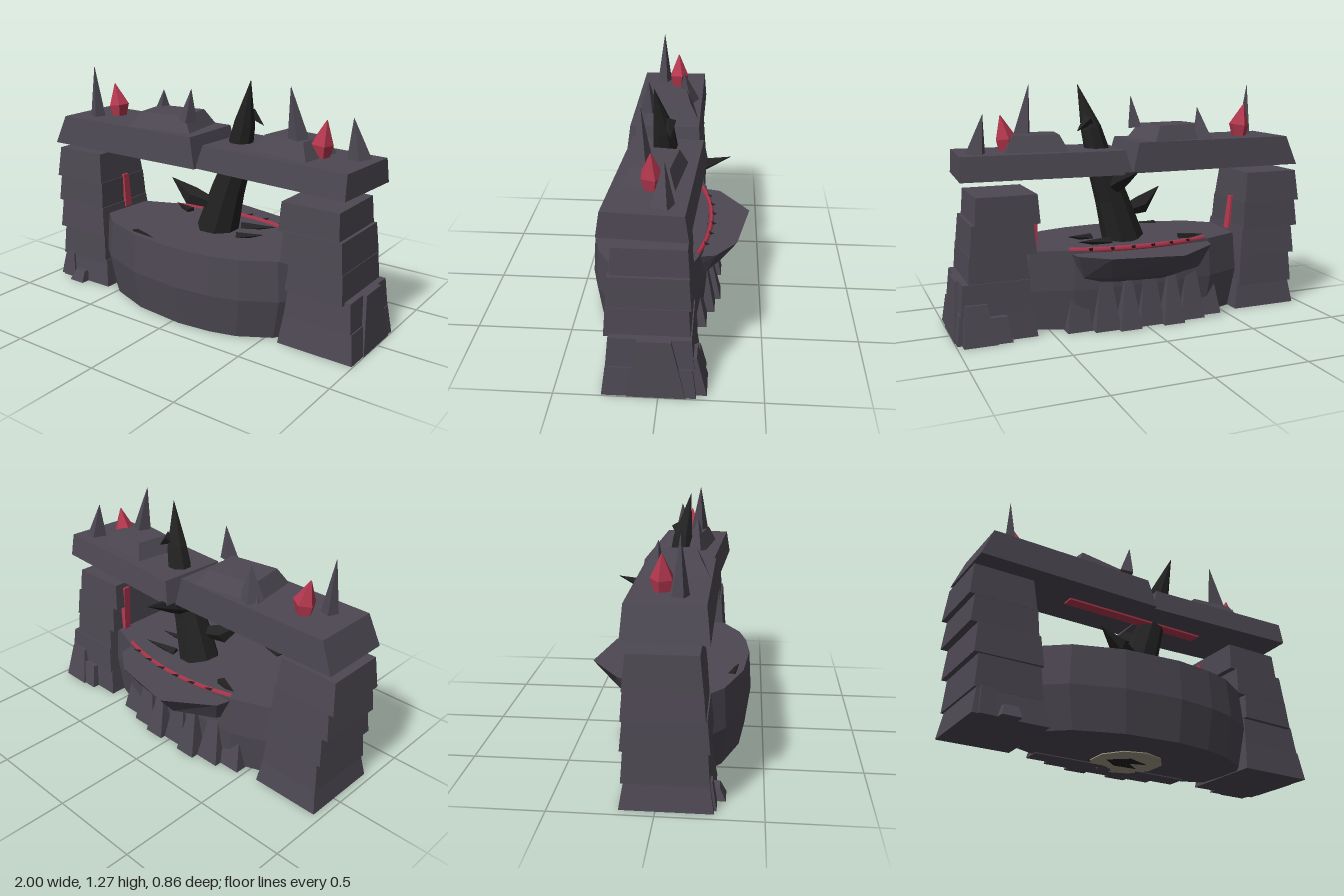
import * as THREE from 'three';

const mat = (name, color) => {
  const m = new THREE.MeshStandardMaterial({ color });
  m.name = name;
  return m;
};
const V = (p) => new THREE.Vector3(...p);

// Closed flat-faced solid from rings listed counterclockwise seen from their tip
function loft(rings) {
  const pos = [];
  const tri = (...ps) => ps.forEach((p) => pos.push(p.x, p.y, p.z));
  const n = rings[0].length;
  const mid = (r) => r.reduce((s, p) => s.add(p), new THREE.Vector3()).divideScalar(n);
  const first = rings[0], last = rings[rings.length - 1];
  const c0 = mid(first), c1 = mid(last);
  for (let j = 0; j < n; j++) {
    const k = (j + 1) % n;
    for (let i = 0; i < rings.length - 1; i++) {
      const a = rings[i], b = rings[i + 1];
      tri(a[j], a[k], b[k]);
      tri(a[j], b[k], b[j]);
    }
    tri(c0, first[k], first[j]);
    tri(c1, last[j], last[k]);
  }
  const g = new THREE.BufferGeometry();
  g.setAttribute('position', new THREE.Float32BufferAttribute(pos, 3));
  g.computeVertexNormals();
  return g;
}

// Faceted horn, spike or crystal along a path
function taper(path, radii, sides = 4, turn = 0.4) {
  const pts = path.map(V);
  const dir = pts[pts.length - 1].clone().sub(pts[0]).normalize();
  const q = new THREE.Quaternion().setFromUnitVectors(new THREE.Vector3(0, 1, 0), dir);
  return loft(pts.map((p, i) => Array.from({ length: sides }, (_, j) => {
    const t = turn + (j / sides) * Math.PI * 2;
    return new THREE.Vector3(Math.cos(t) * radii[i], 0, -Math.sin(t) * radii[i]).applyQuaternion(q).add(p);
  })));
}

// Block with separate bottom and top rectangles, each [x0, x1, z0, z1]
function block(y0, y1, b, t) {
  const ring = ([x0, x1, z0, z1], y) => [[x1, y, z1], [x1, y, z0], [x0, y, z0], [x0, y, z1]].map(V);
  return loft([ring(b, y0), ring(t, y1)]);
}

export function createModel() {
  const root = new THREE.Group();
  const rock = mat('dark rock', 0x4d4852);
  const horn = mat('black horn', 0x232222);
  const red = mat('red crystal', 0xb5384f);
  const olive = mat('olive underside', 0xa09c84);
  const add = (name, geo, material) => {
    const m = new THREE.Mesh(geo, material);
    m.name = name;
    root.add(m);
    return m;
  };

  // Stacked pillars: [y0, y1, x0, x1, z0, z1, top inset, roll]
  const slabs = {
    rightPillar: [
      [0, 0.15, -0.96, -0.58, -0.17, 0.27, 0.025, 0],
      [0.13, 0.3, -0.95, -0.61, -0.16, 0.25, 0.012, 0],
      [0.3, 0.46, -0.965, -0.615, -0.16, 0.25, 0.015, 0.015],
      [0.45, 0.61, -0.985, -0.635, -0.15, 0.23, 0.012, -0.02],
      [0.6, 0.77, -1, -0.65, -0.14, 0.22, 0.018, 0.005],
    ],
    leftPillar: [
      [0, 0.15, 0.58, 0.995, -0.18, 0.27, 0.02, 0],
      [0.14, 0.3, 0.6, 0.97, -0.17, 0.25, 0.015, 0],
      [0.29, 0.44, 0.61, 0.925, -0.15, 0.26, 0.012, -0.015],
      [0.43, 0.59, 0.57, 0.91, -0.15, 0.25, 0.012, 0.015],
      [0.58, 0.73, 0.545, 0.88, -0.14, 0.23, 0.01, 0],
    ],
  };
  for (const [name, list] of Object.entries(slabs)) {
    for (const [y0, y1, x0, x1, z0, z1, d, roll] of list) {
      const cx = (x0 + x1) / 2, cy = (y0 + y1) / 2;
      const g = block(y0, y1, [x0, x1, z0, z1], [x0 + d, x1 - d, z0 + d, z1 - d]);
      g.translate(-cx, -cy, 0).rotateZ(roll).translate(cx, cy, 0);
      add(name + 'Slab', g, rock);
    }
  }

  // Rubble around the pillar feet
  add('sidePlate', block(0, 0.3, [0.9, 1, -0.13, 0.15], [0.9, 0.975, -0.06, 0.1]), rock);
  add('sideShard', block(0, 0.2, [0.8, 0.97, -0.23, -0.1], [0.84, 0.95, -0.18, -0.1]), rock);
  add('sideShard', block(0, 0.13, [0.72, 0.86, -0.22, -0.1], [0.74, 0.84, -0.19, -0.1]), rock);
  add('cornerRubble', block(0, 0.06, [-0.84, -0.74, 0.2, 0.32], [-0.82, -0.75, 0.2, 0.29]), rock);
  add('cornerRubble', block(0, 0.14, [-0.93, -0.84, 0.2, 0.28], [-0.92, -0.86, 0.2, 0.26]), rock);

  // Rounded platform with a bulging front wall
  const outline = [[0.62, 0.18], [0.6, -0.1], [0.38, -0.18], [0.24, -0.2], [-0.13, -0.2], [-0.4, -0.18], [-0.6, -0.1],
    [-0.62, 0.2], [-0.5, 0.3], [-0.25, 0.39], [0.05, 0.42], [0.25, 0.4], [0.4, 0.36], [0.57, 0.26]];
  add('platform', loft([[0.005, 0.95], [0.22, 1.02], [0.43, 0.99]].map(([y, s]) =>
    outline.map(([x, z]) => V([x * s, y, z * s])))), rock);

  // Overhanging rear ledge
  const ledge = [[0.41, -0.1], [0.38, -0.25], [0.24, -0.36], [-0.13, -0.43], [-0.37, -0.26], [-0.41, -0.1]];
  add('rearLedge', loft([[0.24, 0.75, 0.3], [0.29, 0.88, 0.68], [0.415, 1, 1]].map(([y, sx, sz]) =>
    ledge.map(([x, z]) => V([x * sx, y, -0.1 + (z + 0.1) * sz])))), rock);

  // Rock columns below the ledge: [x, height, reach, half width]
  for (const [x, h, z, w] of [[-0.4, 0.26, -0.2, 0.07], [-0.28, 0.31, -0.24, 0.07], [-0.15, 0.27, -0.28, 0.06],
    [-0.03, 0.33, -0.25, 0.07], [0.1, 0.25, -0.28, 0.06], [0.22, 0.32, -0.25, 0.07], [0.36, 0.28, -0.21, 0.07]]) {
    add('rearColumn', block(0, h, [x - w, x + w, z, -0.1], [x - w * 0.45, x + w * 0.3, z + 0.06, -0.14]), rock);
  }

  // Two lintel beams meeting in the middle
  add('rightBeam', block(0.81, 0.97, [-0.97, 0.04, -0.15, 0.245], [-0.905, 0.0, -0.14, 0.225]), rock);
  const beam = block(0.81, 0.935, [0.045, 0.935, -0.18, 0.235], [0.08, 0.93, -0.16, 0.215]);
  beam.translate(-0.5, 0, 0).rotateY(-0.06).translate(0.5, 0, 0.015);
  add('leftBeam', beam, rock);

  // Raised plates on the beams
  for (const [x, z, y, w, d, h, turn] of [[-0.26, 0.04, 0.965, 0.19, 0.15, 0.085, 0.15], [0.52, 0.045, 0.93, 0.165, 0.13, 0.09, -0.13]]) {
    const g = block(0, h, [-w, w, -d, d], [-w * 0.72, w * 0.72, -d * 0.72, d * 0.72]);
    add('raisedPlate', g.rotateY(turn).translate(x, y, z), rock);
  }

  // Rock spikes and red crystals on top
  for (const [b, t, r] of [
    [[-0.765, 0.96, 0.1], [-0.78, 1.25, 0.1], 0.045],
    [[-0.41, 0.96, -0.06], [-0.385, 1.14, -0.04], 0.07],
    [[-0.085, 1.03, 0.13], [-0.06, 1.2, 0.13], 0.05],
    [[0.575, 0.98, 0.1], [0.525, 1.27, 0.11], 0.06],
    [[0.84, 0.93, -0.015], [0.8, 1.13, -0.02], 0.06],
  ]) add('rockSpike', taper([b, t], [r, 0.001]), rock);
  for (const [x, y, z, lean] of [[-0.68, 0.96, 0.01, -0.03], [0.67, 0.93, 0.05, 0.025]]) {
    add('redCrystal', taper([[x, y, z], [x, y + 0.07, z], [x + lean, y + 0.19, z]], [0.04, 0.058, 0.002], 5), red);
  }

  // Curved central horn with thorns
  add('centralHorn', taper([[0.03, 0.42, 0.02], [0.1, 0.66, 0.02], [0.155, 0.82, 0.015], [0.21, 1.04, 0.03], [0.27, 1.27, 0.07]],
    [0.115, 0.09, 0.075, 0.055, 0.001], 8), horn);
  add('frontThorn', taper([[0.03, 0.57, 0.05], [-0.1, 0.6, 0.08], [-0.22, 0.69, 0.1]], [0.03, 0.055, 0.001], 5), horn);
  add('rearThorn', taper([[0.1, 0.72, 0], [0.085, 0.78, -0.13], [0.08, 0.84, -0.31]], [0.05, 0.042, 0.001], 5), horn);
  add('upperThorn', taper([[0.23, 1.09, 0.0], [0.3, 1.03, -0.01]], [0.035, 0.001]), horn);

  // Flat thorns around the platform
  for (const [b, t, r] of [
    [[0.14, 0.43, -0.06], [0.33, 0.455, -0.1], 0.03], [[0.2, 0.43, 0.08], [0.34, 0.455, 0.04], 0.025],
    [[-0.25, 0.43, -0.1], [-0.38, 0.45, -0.14], 0.03], [[-0.3, 0.42, 0.33], [-0.08, 0.425, 0.37], 0.025],
  ]) add('platformThorn', taper([b, t], [r, 0.001]), horn);

  // Red glowing seam along the rear of the platform, edged with small barbs
  const arc = new THREE.QuadraticBezierCurve3(V([-0.38, 0.43, -0.155]), V([0, 0.43, -0.28]), V([0.4, 0.43, -0.155]));
  add('platformSeam', new THREE.TubeGeometry(arc, 14, 0.014, 4), red);
  for (let i = 1; i < 7; i++) {
    const p = arc.getPoint(i / 7);
    add('seamBarb', taper([[p.x, 0.43, p.z], [p.x + 0.03, 0.445, p.z - 0.03]], [0.013, 0.001]), horn);
  }

  // Red seams under the beams and on the inner pillar faces
  add('beamSeam', block(0.8, 0.815, [-0.4, 0.44, 0.02, 0.085], [-0.4, 0.44, 0.02, 0.085]), red);
  add('rightPillarSeam', block(0.43, 0.62, [-0.66, -0.618, 0, 0.05], [-0.66, -0.637, 0, 0.04]), red);
  add('leftPillarSeam', block(0.43, 0.7, [0.55, 0.6, -0.08, -0.04], [0.54, 0.6, -0.08, -0.04]), red);

  // Plate under the platform with a dark mark
  add('basePlate', new THREE.CylinderGeometry(0.19, 0.19, 0.006, 10).translate(0, 0.003, 0), olive);
  const mark = new THREE.Shape([[-0.12, 0], [-0.02, 0.08], [0.11, 0.03], [0.02, 0], [0.1, -0.06], [-0.03, -0.07]].map((p) => new THREE.Vector2(...p)));
  add('baseMark', new THREE.ShapeGeometry(mark).rotateX(Math.PI / 2).translate(0, -0.001, 0), horn);

  return root;
}
